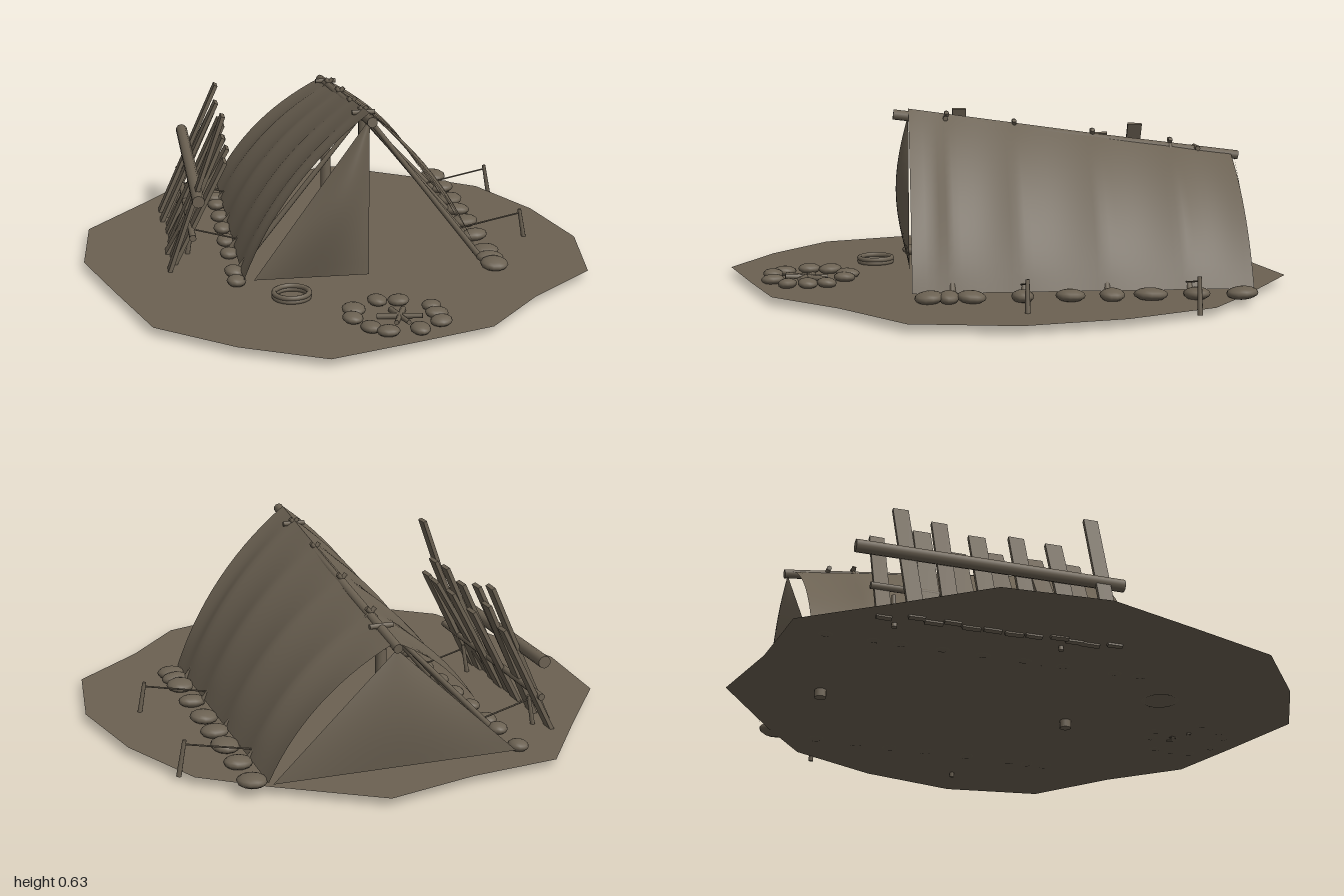
import * as THREE from 'three';

export function createModel() {
  const root = new THREE.Group();
  const earth = new THREE.MeshStandardMaterial({ color: 0x6b6152 });
  earth.name = 'earthBrown';
  const earthTwoSided = earth.clone();
  earthTwoSided.side = THREE.DoubleSide;

  const V = (x, y, z) => new THREE.Vector3(x, y, z);
  const lerp = THREE.MathUtils.lerp;
  let seed = 7;
  const rnd = () => (seed = (seed * 16807) % 2147483647) / 2147483647;
  const GROUND = 0.028;

  function add(name, geo, parent = root, mat = earth) {
    const m = new THREE.Mesh(geo, mat);
    m.name = name;
    parent.add(m);
    return m;
  }
  function group(name) {
    const g = new THREE.Group();
    g.name = name;
    root.add(g);
    return g;
  }
  // round pole between two points
  function pole(name, a, b, r0, r1 = r0, parent = root, sides = 10) {
    const m = add(name, new THREE.CylinderGeometry(r1, r0, a.distanceTo(b), sides), parent);
    m.position.copy(a).add(b).multiplyScalar(0.5);
    m.quaternion.setFromUnitVectors(V(0, 1, 0), b.clone().sub(a).normalize());
    return m;
  }
  // cloth sheet: fn(u, v) gives each point, u to the right and v upwards
  function sheet(name, nu, nv, fn, parent) {
    const geo = new THREE.PlaneGeometry(1, 1, nu, nv);
    const p = geo.attributes.position;
    for (let i = 0; i < p.count; i++) {
      const q = fn(p.getX(i) + 0.5, p.getY(i) + 0.5);
      p.setXYZ(i, q.x, q.y, q.z);
    }
    geo.computeVertexNormals();
    return add(name, geo, parent);
  }
  function stone(parent, x, z, rx, rz, ry = 0.02) {
    const m = add('stone', new THREE.SphereGeometry(1, 12, 8), parent);
    m.scale.set(rx, ry, rz);
    m.position.set(x, GROUND + ry * 0.75, z);
    m.rotation.set((rnd() - 0.5) * 0.15, (rnd() - 0.5) * 0.6, (rnd() - 0.5) * 0.15);
  }

  // Ground patch
  const outline = [[0.15, -1], [-0.16, -0.925], [-0.47, -0.89], [-0.67, -0.62], [-0.885, -0.34],
    [-0.906, 0.02], [-0.8, 0.34], [-0.69, 0.66], [-0.435, 0.86], [-0.16, 0.995], [0.145, 0.9],
    [0.4, 0.815], [0.6, 0.585], [0.85, 0.37], [0.905, 0.015], [0.83, -0.33], [0.685, -0.64], [0.485, -0.787]];
  const groundGeo = new THREE.ShapeGeometry(new THREE.Shape(outline.map(([x, z]) => new THREE.Vector2(x, -z))));
  add('ground', groundGeo.rotateX(-Math.PI / 2).translate(0, GROUND, 0), root, earthTwoSided);

  // Ridge pole and uprights
  const RX = 0.07;
  const ridgeY = z => 0.61 + (z - 0.398) * 0.1255;
  const frame = group('frame');
  pole('ridgePole', V(RX, ridgeY(0.398), 0.398), V(RX, ridgeY(-0.837), -0.837), 0.018, 0.016, frame);
  for (const z of [0.215, -0.685]) {
    pole('upright', V(RX, 0, z), V(RX, ridgeY(z), z), 0.021, 0.018, frame);
    pole('crossPeg', V(RX - 0.04, ridgeY(z) + 0.01, z), V(RX + 0.04, ridgeY(z) + 0.01, z), 0.009, 0.009, frame, 8);
  }

  // Rafters under the cloth
  const EDGE = { left: 0.49, right: -0.365 };
  const rafterZ = [0.21, -0.03, -0.31, -0.59];
  for (const z of rafterZ) for (const edge of [EDGE.left, EDGE.right]) {
    const s = Math.sign(edge);
    pole('rafter', V(edge + s * 0.012, 0.035, z), V(RX - s * 0.015, ridgeY(z) + 0.03, z), 0.011, 0.008, frame, 8);
  }

  // Roof cloth: bulges outward, sags between the rafters
  const tent = group('tent');
  const stops = [0.345, ...rafterZ, -0.81];
  function sag(z) {
    for (let i = 0; i < stops.length - 1; i++) {
      if (z <= stops[i] + 1e-6 && z >= stops[i + 1] - 1e-6) {
        return Math.sin(Math.PI * (stops[i] - z) / (stops[i] - stops[i + 1]));
      }
    }
    return 0;
  }
  for (const edge of [EDGE.left, EDGE.right]) {
    const s = Math.sign(edge);
    sheet('roofCloth', 48, 14, (u, v) => {
      const z = s > 0 ? lerp(0.345, -0.81, u) : lerp(-0.81, 0.345, u);
      const top = 0.63 + (z - 0.345) * 0.14;
      const arch = 4 * v * (1 - v);
      const out = arch * (0.052 - 0.014 * sag(z));
      return V(lerp(edge, RX, v) + s * out * 0.8, lerp(0.05, top, v) + out * 0.6, z);
    }, tent);
  }

  // End panels
  function endPanel(name, x0, x1, apexY, z, bulge) {
    sheet(name, 12, 12, (u, v) => V(
      lerp(lerp(x0, x1, u), RX, v), lerp(0.05, apexY, v),
      z + bulge * Math.sin(Math.PI * v) * Math.sin(Math.PI * u)), tent);
  }
  endPanel('backPanel', 0.48, -0.355, 0.45, -0.825, -0.022);
  endPanel('frontFlap', -0.33, 0.07, 0.61, 0.345, 0.045);

  // Guy lines and stakes
  for (const z of [-0.58, -0.02]) for (const [edge, reach] of [[EDGE.left, 0.21], [EDGE.right, 0.15]]) {
    const s = Math.sign(edge);
    const g = group('guyLine');
    const tip = edge + s * reach;
    pole('stake', V(tip + s * 0.022, 0.012, z), V(tip, 0.135, z), 0.009, 0.007, g, 8);
    pole('rope', V(edge - s * 0.03, 0.07, z), V(tip, 0.12, z), 0.003, 0.003, g, 6);
  }

  // Leaning plank screen: z, height, bottom x, top x
  const screen = group('plankScreen');
  const planks = [[-0.62, 0.4, -0.58, -0.39], [-0.53, 0.525, -0.61, -0.38], [-0.465, 0.44, -0.59, -0.4],
    [-0.405, 0.49, -0.61, -0.39], [-0.34, 0.38, -0.59, -0.4], [-0.27, 0.46, -0.595, -0.39],
    [-0.2, 0.41, -0.59, -0.38], [-0.13, 0.48, -0.595, -0.39], [-0.055, 0.41, -0.61, -0.38],
    [0.005, 0.47, -0.595, -0.4], [0.065, 0.4, -0.59, -0.4], [0.14, 0.585, -0.61, -0.41]];
  for (const [z, h, x0, x1] of planks) {
    const dx = x1 - x0, dy = h - 0.018;
    const m = add('plank', new THREE.BoxGeometry(0.014, Math.hypot(dx, dy), 0.05 + rnd() * 0.015), screen);
    m.position.set((x0 + x1) / 2, 0.018 + dy / 2, z);
    m.rotation.set((rnd() - 0.5) * 0.06, 0, -Math.atan2(dx, dy));
  }
  pole('upperRail', V(-0.505, 0.3, -0.71), V(-0.505, 0.3, 0.22), 0.022, 0.022, screen);
  pole('lowerRail', V(-0.525, 0.155, -0.66), V(-0.525, 0.155, 0.18), 0.012, 0.012, screen);

  // Stones holding the cloth down: z, size
  const leftStones = group('leftEdgeStones');
  for (const [z, r] of [[-0.76, 0.055], [-0.605, 0.045], [-0.45, 0.058], [-0.32, 0.043], [-0.18, 0.05],
    [-0.02, 0.038], [0.15, 0.05], [0.225, 0.036], [0.29, 0.05]]) {
    stone(leftStones, 0.53, z, 0.05, r, 0.022);
  }
  const rightStones = group('rightEdgeStones');
  for (const z of [-0.77, -0.61, -0.52, -0.38, -0.24, -0.1, 0.04, 0.225, 0.32]) {
    stone(rightStones, -0.388, z, 0.034, 0.036 + rnd() * 0.008, 0.02);
  }

  // Fire ring
  const fire = group('fireRing');
  for (const [x, z] of [[0.06, 0.565], [0.13, 0.575], [-0.03, 0.63], [0.23, 0.635], [-0.045, 0.705],
    [0.235, 0.7], [0.235, 0.77], [0, 0.79], [0.05, 0.83], [0.155, 0.825]]) {
    stone(fire, x, z, 0.033 + rnd() * 0.008, 0.033 + rnd() * 0.01, 0.018);
  }
  for (const a of [0.3, 1.35, 1.9]) {
    const x = Math.cos(a) * 0.075, z = Math.sin(a) * 0.075;
    pole('firewood', V(0.11 - x, 0.034, 0.71 - z), V(0.11 + x, 0.046, 0.71 + z), 0.011, 0.008, fire, 8);
  }

  // Coiled rope ring
  const coil = group('ropeCoil');
  for (const y of [0.035, 0.047]) {
    const m = add('coil', new THREE.TorusGeometry(0.06, 0.009, 8, 32), coil);
    m.rotation.x = Math.PI / 2;
    m.position.set(-0.215, y, 0.465);
  }

  return root;
}
